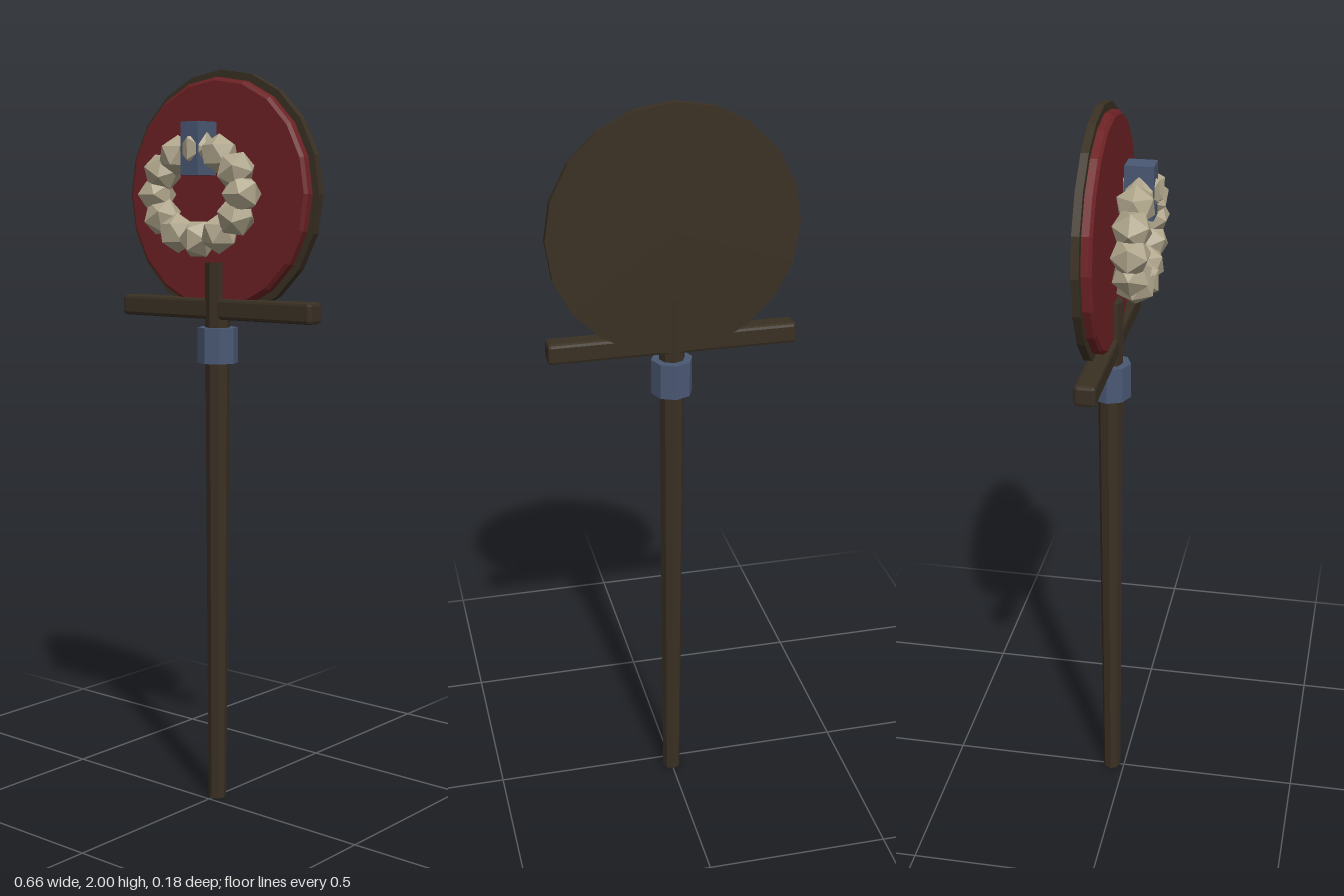
import * as THREE from 'three';
import { RoundedBoxGeometry } from 'three/addons/geometries/RoundedBoxGeometry.js';

// Faceted normals for every part
function flat(geometry) {
  const g = geometry.index ? geometry.toNonIndexed() : geometry;
  g.computeVertexNormals();
  return g;
}

export function createModel() {
  const material = (name, color) => {
    const m = new THREE.MeshStandardMaterial({ color });
    m.name = name;
    return m;
  };
  const wood = material('dark wood', 0x3a3023);
  const red = material('deep red', 0x6e2225);
  const blue = material('blue steel', 0x4a5874);
  const bone = material('bone', 0xb0a68c);

  const model = new THREE.Group();
  model.name = 'ceremonialStandard';
  const add = (name, geometry, mat, x, y, z, parent = model) => {
    const mesh = new THREE.Mesh(flat(geometry), mat);
    mesh.name = name;
    mesh.position.set(x, y, z);
    parent.add(mesh);
    return mesh;
  };

  const poleZ = -0.036, discY = 1.674;

  // Tapered pole, collar and crossbar
  add('pole', new THREE.CylinderGeometry(0.035, 0.025, 1.495, 8), wood, 0, 0.7475, poleZ);
  add('collar', new THREE.CylinderGeometry(0.055, 0.055, 0.096, 8), blue, 0, 1.273, poleZ);
  add('crossbar', new RoundedBoxGeometry(0.656, 0.056, 0.056, 1, 0.009), wood, 0, 1.371, -0.038);

  // Round backing board, turned to face the front
  const board = new THREE.CylinderGeometry(0.327, 0.327, 0.02, 20);
  board.rotateX(Math.PI / 2);
  add('backingBoard', board, wood, 0, discY, -0.058);

  // Red face with a chamfered front edge
  const profile = [[0, 0], [0.307, 0], [0.307, 0.021], [0.298, 0.028], [0, 0.028]];
  const face = new THREE.LatheGeometry(profile.map(([r, h]) => new THREE.Vector2(r, h)), 20);
  face.rotateX(Math.PI / 2);
  add('redFace', face, red, 0, discY, -0.05);

  // Oval wreath of faceted beads
  const wreath = new THREE.Group();
  wreath.name = 'beadWreath';
  wreath.position.set(0, 1.675, 0.043);
  model.add(wreath);
  for (let i = 0; i < 12; i++) {
    const a = (i / 12) * Math.PI * 2;
    const bead = add('bead', new THREE.IcosahedronGeometry(0.054), bone,
      Math.sin(a) * 0.147, Math.cos(a) * 0.117, 0, wreath);
    bead.rotation.z = -a;
  }

  // Clasp around the top bead
  add('clasp', new THREE.BoxGeometry(0.06, 0.138, 0.074), blue, 0, 1.793, 0.043);

  return model;
}
